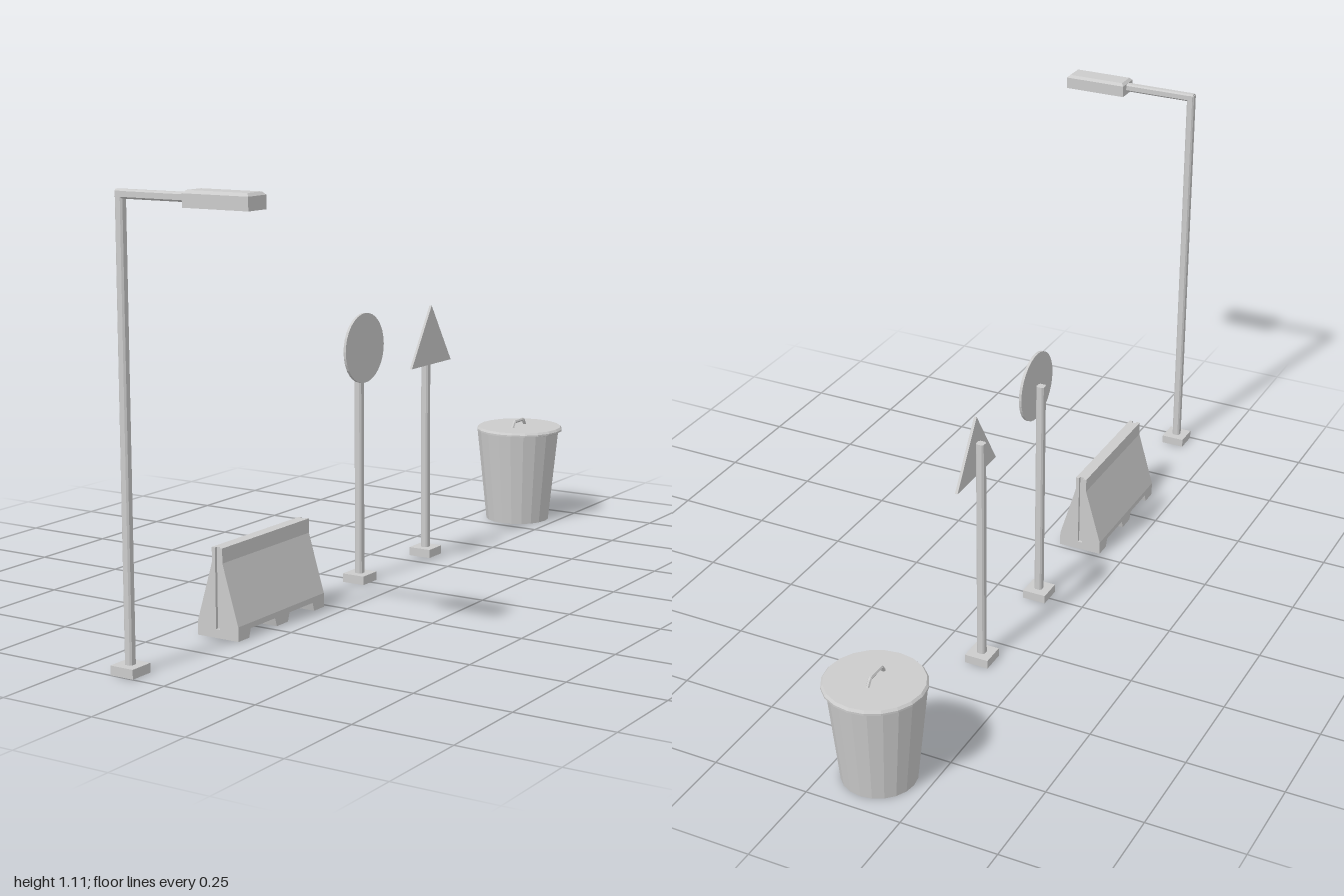
import * as THREE from 'three';

const mat = new THREE.MeshStandardMaterial({ color: 0xcccccc, flatShading: true });
const thin = new THREE.MeshStandardMaterial({ color: 0xcccccc, flatShading: true, side: THREE.DoubleSide });
const X = -0.121; // shared centre line of the row

function add(parent, name, geo, x = 0, y = 0, z = 0, material = mat) {
  const m = new THREE.Mesh(geo, material);
  m.name = name;
  m.position.set(x, y, z);
  parent.add(m);
  return m;
}

function group(parent, name, x, z) {
  const g = new THREE.Group();
  g.name = name;
  g.position.set(x, 0, z);
  parent.add(g);
  return g;
}

const polygon = pts => new THREE.Shape(pts.map(p => new THREE.Vector2(...p)));
const extrude = (shape, depth) => new THREE.ExtrudeGeometry(shape, { depth, bevelEnabled: false });

// Square bar with chamfered long edges, running up from y = 0
function bar(length, w = 0.0105, c = 0.004) {
  const pts = [[w, -w + c], [w, w - c], [w - c, w], [-w + c, w], [-w, w - c], [-w, -w + c], [-w + c, -w], [w - c, -w]];
  return extrude(polygon(pts), length).rotateX(-Math.PI / 2);
}

function post(parent, height) {
  add(parent, 'base', new THREE.BoxGeometry(0.064, 0.023, 0.064), 0, 0.0115, 0);
  add(parent, 'pole', bar(height));
}

function streetLamp(root) {
  const g = group(root, 'streetLamp', X, 0.967);
  post(g, 1.1);
  add(g, 'arm', bar(0.215).rotateZ(-Math.PI / 2), -0.008, 1.093, 0);
  // Head: chamfered upper shell, with a frame around a recess below
  const cx = 0.281, hx = 0.087, hz = 0.033, c = 0.007;
  const outline = polygon([[-hx, -hz], [hx, -hz], [hx, hz], [-hx, hz]]);
  outline.holes.push(polygon([[-hx + 0.01, -hz + 0.01], [-hx + 0.01, hz - 0.01], [hx - 0.01, hz - 0.01], [hx - 0.01, -hz + 0.01]]));
  add(g, 'lampFrame', extrude(outline, 0.012).rotateX(-Math.PI / 2), cx, 1.073, 0);
  const shell = new THREE.BoxGeometry(2 * hx, 0.026, 2 * hz, 1, 2, 1);
  const p = shell.attributes.position;
  for (let i = 0; i < p.count; i++) {
    if (p.getY(i) > 0.01) {
      p.setX(i, p.getX(i) - Math.sign(p.getX(i)) * c);
      p.setZ(i, p.getZ(i) - Math.sign(p.getZ(i)) * c);
    } else if (p.getY(i) > -0.01) p.setY(i, 0.006);
  }
  add(g, 'lampHead', shell, cx, 1.098, 0);
}

function barrier(root) {
  const g = group(root, 'barrier', X, 0.449);
  const half = 0.184, foot = 0.022, groove = 0.008;
  const side = [[0.06, foot], [0.06, 0.036], [0.0155, 0.187], [0.0155, 0.224]];
  const mirror = side.map(([x, y]) => [-x, y]).reverse();
  add(g, 'barrierBody', extrude(polygon([...side, ...mirror]), 2 * (half - groove)), 0, 0, -half + groove);
  // End cheeks leave an upright groove down the middle of each end
  for (const z of [-half, half - groove]) {
    add(g, 'endCheek', extrude(polygon([...side, [0.006, 0.224], [0.006, foot]]), groove), 0, 0, z);
    add(g, 'endCheek', extrude(polygon([[-0.006, foot], [-0.006, 0.224], ...mirror]), groove), 0, 0, z);
  }
  // Three feet with sloping inner sides
  for (const [a, b, sa, sb] of [[-half, -0.14, 0, 1], [-0.024, 0.024, 1, 1], [0.14, half, 1, 0]]) {
    const s = 0.007;
    const shape = polygon([[a, 0], [b, 0], [b + sb * s, foot], [a - sa * s, foot]]);
    add(g, 'foot', extrude(shape, 0.12).rotateY(-Math.PI / 2), 0.06, 0, 0);
  }
}

function roadSign(root, name, z, panel, y, top) {
  const g = group(root, name, X, z);
  post(g, top);
  add(g, 'signPanel', panel, 0.0115, y, 0);
}

function bin(root) {
  const g = group(root, 'bin', X, -0.865);
  add(g, 'binBody', new THREE.CylinderGeometry(0.1205, 0.0925, 0.266, 20, 1, true), 0, 0.133, 0, thin);
  const profile = [[0, 0.262], [0.12, 0.262], [0.126, 0.265], [0.126, 0.27], [0.121, 0.276], [0, 0.277]];
  add(g, 'lid', new THREE.LatheGeometry(profile.map(p => new THREE.Vector2(...p)), 20), 0, 0, -0.009);
  // Bent bar handle
  const path = new THREE.CurvePath();
  const pts = [[0.04, 0.272], [0.026, 0.293], [-0.026, 0.293], [-0.04, 0.272]].map(([z, y]) => new THREE.Vector3(0, y, z));
  for (let i = 0; i < 3; i++) path.add(new THREE.LineCurve3(pts[i], pts[i + 1]));
  add(g, 'handle', new THREE.TubeGeometry(path, 24, 0.005, 6), 0, 0, -0.004);
}

export function createModel() {
  const root = new THREE.Group();
  root.name = 'streetFurniture';
  streetLamp(root);
  barrier(root);
  const disc = new THREE.CylinderGeometry(0.0915, 0.0915, 0.007, 32).rotateZ(Math.PI / 2).translate(0.0035, 0, 0);
  roadSign(root, 'roundSign', 0.004, disc, 0.626, 0.63);
  const triangle = extrude(polygon([[-0.103, 0], [0.103, 0], [0, 0.162]]), 0.007).rotateY(Math.PI / 2);
  roadSign(root, 'triangleSign', -0.333, triangle, 0.537, 0.63);
  bin(root);
  return root;
}
